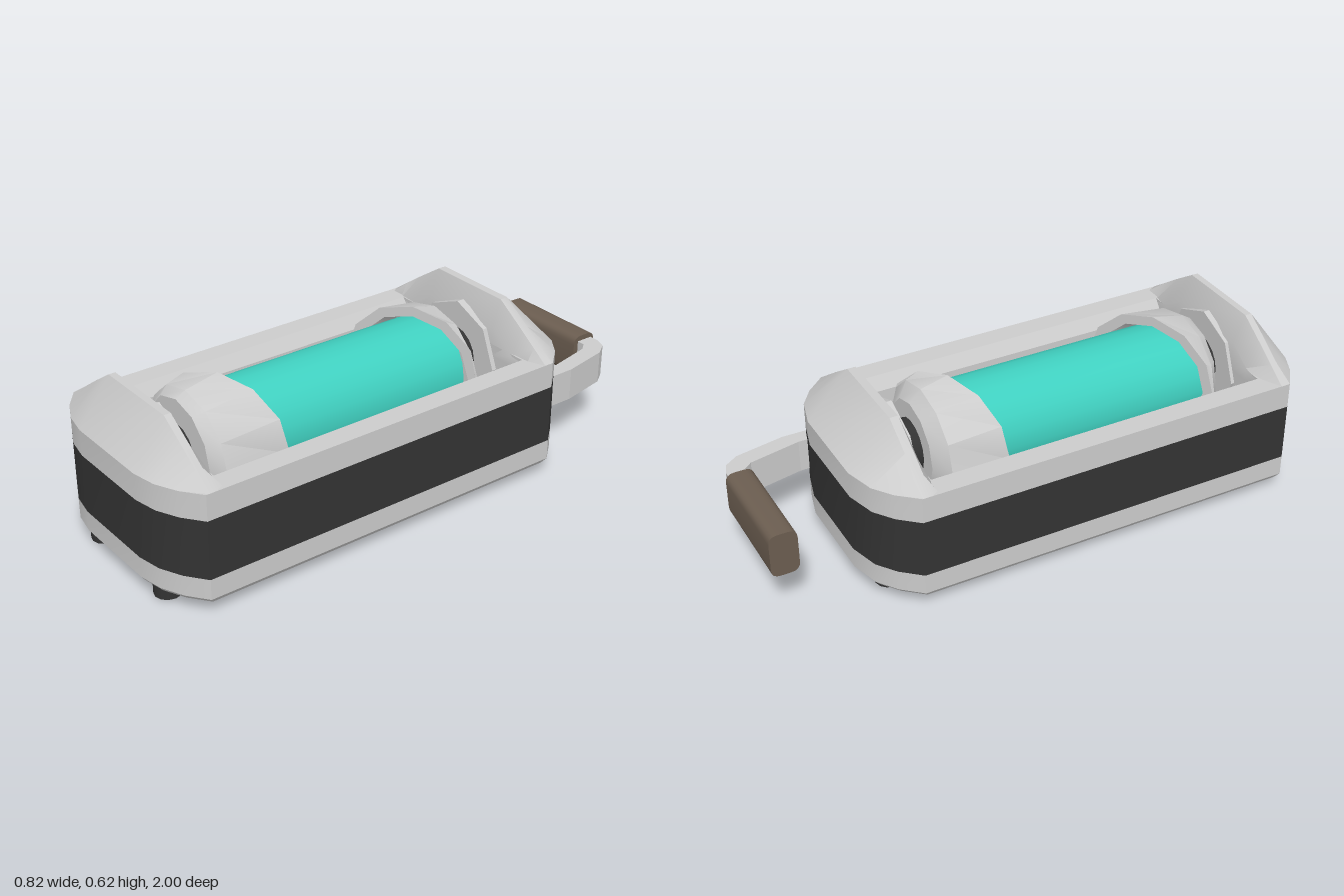
import * as THREE from 'three';
import { toCreasedNormals } from 'three/addons/utils/BufferGeometryUtils.js';

const paint = (color) => new THREE.MeshStandardMaterial({ color, side: THREE.DoubleSide });
const V = (x, y, z) => new THREE.Vector3(x, y, z);

// Skin rows of points; corners run along a row, then on to the next row
function loft(rows, closed) {
  const pos = [];
  const tri = (a, b, c) => {
    const area = b.clone().sub(a).cross(c.clone().sub(a)).length();
    if (area > 1e-7) for (const p of [a, b, c]) pos.push(p.x, p.y, p.z);
  };
  for (let i = 0; i + 1 < rows.length; i++) {
    const n = rows[i].length;
    for (let j = 0; j < (closed ? n : n - 1); j++) {
      const k = (j + 1) % n;
      tri(rows[i][j], rows[i][k], rows[i + 1][k]);
      tri(rows[i][j], rows[i + 1][k], rows[i + 1][j]);
    }
  }
  const geo = new THREE.BufferGeometry();
  geo.setAttribute('position', new THREE.Float32BufferAttribute(pos, 3));
  return toCreasedNormals(geo, 0.55);
}

export function createModel() {
  const model = new THREE.Group();
  const grey = paint(0xcccccc), dark = paint(0x333333);
  const teal = paint(0x40d0c0), brown = paint(0x6b5d50);
  const add = (name, geo, mat, x = 0, y = 0, z = 0) => {
    const mesh = new THREE.Mesh(geo, mat);
    mesh.name = name;
    mesh.position.set(x, y, z);
    model.add(mesh);
    return mesh;
  };

  // Plan outline of the case, with rounded ends
  const frontEnd = [[0.17, 1], [0.26, 0.983], [0.34, 0.945], [0.412, 0.89]];
  const backEnd = [[0.412, -0.54], [0.35, -0.61], [0.28, -0.66], [0.17, -0.69]];
  const half = [...frontEnd, ...backEnd];
  const outline = [...half, ...half.map(([x, z]) => [-x, z]).reverse()];
  const outer = (y, s = 1) => outline.map(([x, z]) => V(x * s, y, 0.155 + (z - 0.155) * (s + 1) / 2));
  const inner = (y, w) => outline.map(([x, z]) =>
    V(THREE.MathUtils.clamp(x, -w, w), y, THREE.MathUtils.clamp(z, -0.47, 0.81)));

  // Open case: lower shell, dark band, upper shell with its inner wall
  add('lowerShell', loft([inner(0.05, 0.295), outer(0.05, 0.965), outer(0.07), outer(0.145)], true), grey);
  add('band', loft([outer(0.145), outer(0.36)], true), dark);
  add('upperShell', loft([outer(0.36), outer(0.455), inner(0.455, 0.33),
    inner(0.41, 0.295), inner(0.05, 0.295)], true), grey);

  // Raised hood over each end
  function hood(name, end, ridgeOut, ridgeIn, wall) {
    const wide = [...end].sort((a, b) => a[0] - b[0]);
    const line = [...wide.map(([x, z]) => [-x, z]).reverse(), ...wide];
    if (ridgeOut < 0) line.reverse();
    const top = (x) => 0.62 - 0.165 * Math.max(0, Math.abs(x) - 0.175) / 0.237;
    add(name, loft([
      line.map(([x, z]) => V(x, 0.455, z)),
      line.map(([x]) => V(x, top(x), ridgeOut)),
      line.map(([x]) => V(x, top(x), ridgeIn)),
      line.map(([x]) => V(x, Math.max(0.44, top(x) - 0.1), wall)),
      line.map(([x]) => V(x, 0.41, wall)),
    ], false), grey);
  }
  hood('frontHood', frontEnd, 0.88, 0.855, 0.81);
  hood('backHood', backEnd, -0.535, -0.505, -0.47);

  // Roller, axle and bearing plates
  const axisY = 0.365;
  const rod = (name, r, z0, z1, mat, sides) => add(name,
    toCreasedNormals(new THREE.CylinderGeometry(r, r, z1 - z0, sides).rotateX(Math.PI / 2), 0.6),
    mat, 0, axisY, (z0 + z1) / 2);
  rod('roller', 0.185, -0.33, 0.69, teal, 20);
  rod('axle', 0.1, -0.47, 0.81, dark, 16);
  rod('backBearing', 0.2, -0.48, -0.452, grey, 8);
  rod('frontBearing', 0.2, 0.797, 0.82, grey, 8);

  // Collars round the roller ends, cut off at a slant
  const ring = (r, z, sy = 1) => Array.from({ length: 12 }, (_, i) => {
    const a = i * Math.PI / 6, x = r * Math.cos(a);
    return V(x, axisY + r * sy * Math.sin(a), z(x));
  });
  function collar(name, cut, shoulder, end, endRadius) {
    const inside = Math.sign(end - shoulder) * 0.05;
    const rows = [
      ring(0.186, (x) => cut(x) + inside), ring(0.2, cut), ring(0.237, cut),
      ring(0.235, () => shoulder, 0.9), ring(endRadius, () => end), ring(0.08, () => end),
    ];
    if (end < shoulder) rows.reverse();
    add(name, loft(rows, true), grey);
  }
  collar('frontCollar', (x) => 0.575 - 0.49 * x, 0.70, 0.737, 0.19);
  collar('backCollar', (x) => -0.243 - 0.47 * x, -0.345, -0.387, 0.165);

  // Flat crank arm, bent round to the handle
  const arm = new THREE.Shape([[0.31, 0.62], [0.31, 0.74], [0.275, 0.92], [0.24, 0.97], [0.2, 0.985], [0.14, 0.985],
    [0.14, 0.92], [0.19, 0.92], [0.215, 0.89], [0.255, 0.7], [0.255, 0.62]].map(([x, y]) => new THREE.Vector2(x, y)));
  add('crankArm', new THREE.ExtrudeGeometry(arm, { depth: 0.122, bevelEnabled: false }).rotateX(-Math.PI / 2),
    grey, 0, 0.203, 0);

  // Handle with a tall rounded section
  const grip = new THREE.Shape();
  grip.moveTo(-0.05, -0.05);
  grip.quadraticCurveTo(-0.05, -0.082, -0.018, -0.082);
  grip.lineTo(0.018, -0.082);
  grip.quadraticCurveTo(0.05, -0.082, 0.05, -0.05);
  grip.lineTo(0.05, 0.05);
  grip.quadraticCurveTo(0.05, 0.082, 0.018, 0.082);
  grip.lineTo(-0.018, 0.082);
  grip.quadraticCurveTo(-0.05, 0.082, -0.05, 0.05);
  add('handle', toCreasedNormals(new THREE.ExtrudeGeometry(grip,
    { depth: 0.39, bevelEnabled: false, curveSegments: 4 }).rotateY(Math.PI / 2), 0.6),
    brown, -0.23, 0.263, -0.95);

  // Feet
  for (const x of [-0.203, 0.203]) for (const z of [0.925, -0.583])
    add('foot', new THREE.CylinderGeometry(0.048, 0.048, 0.06, 12), dark, x, 0.03, z);

  return model;
}
